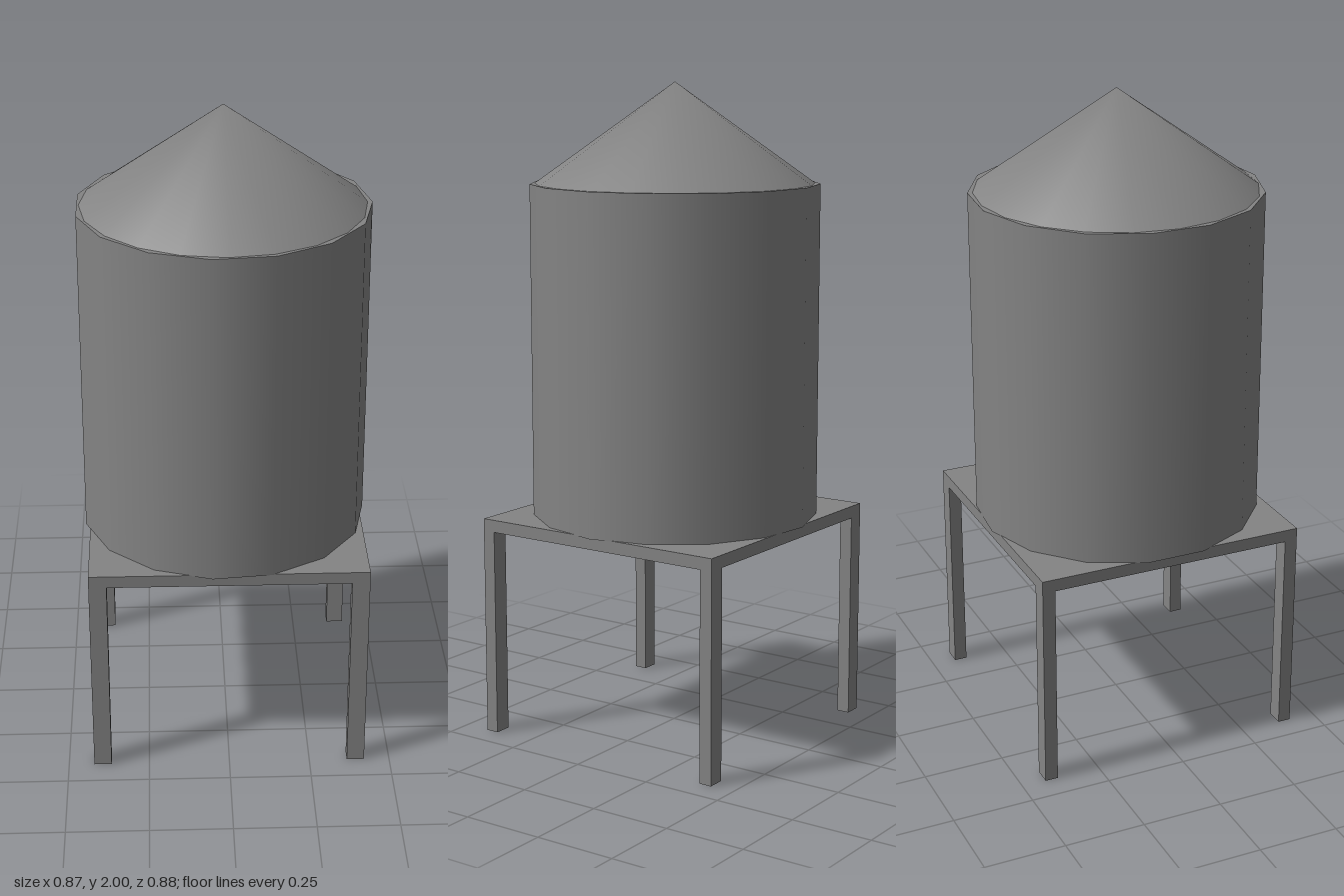
import * as THREE from 'three';

export function createModel() {
  const model = new THREE.Group();
  const material = new THREE.MeshStandardMaterial({ color: 0x848484 });

  const add = (name, geometry, x, y, z) => {
    const mesh = new THREE.Mesh(geometry, material);
    mesh.name = name;
    mesh.position.set(x, y, z);
    model.add(mesh);
  };

  // Tank body: fifteen smooth sides, one corner pointing to +x
  const bottom = 0.677, top = 1.697, axisX = -0.005;
  add('tankBody',
    new THREE.CylinderGeometry(0.44, 0.44, top - bottom, 15, 1, false, Math.PI / 2),
    axisX, (bottom + top) / 2, 0);

  // Conical roof, slightly narrower than the tank, shaded smoothly over its tip
  const roof = new THREE.ConeGeometry(0.425, 2 - top, 20);
  const { position, normal } = roof.attributes;
  for (let i = 0; i < position.count; i++) {
    if (position.getY(i) > 0) normal.setXYZ(i, 0, 1, 0);
  }
  add('roof', roof, axisX, (top + 2) / 2, 0);

  // Square platform
  const width = 0.843, depth = 0.842, centreZ = -0.004;
  const underside = 0.641, deckTop = 0.679;
  add('platform', new THREE.BoxGeometry(width, deckTop - underside, depth),
    0, (underside + deckTop) / 2, centreZ);

  // Four legs flush with the platform corners
  const legX = 0.054, legZ = 0.04;
  for (const [side, sx] of [['Left', 1], ['Right', -1]]) {
    for (const [end, sz] of [['front', 1], ['back', -1]]) {
      add(`${end}${side}Leg`, new THREE.BoxGeometry(legX, underside, legZ),
        sx * (width - legX) / 2, underside / 2, centreZ + sz * (depth - legZ) / 2);
    }
  }

  return model;
}
